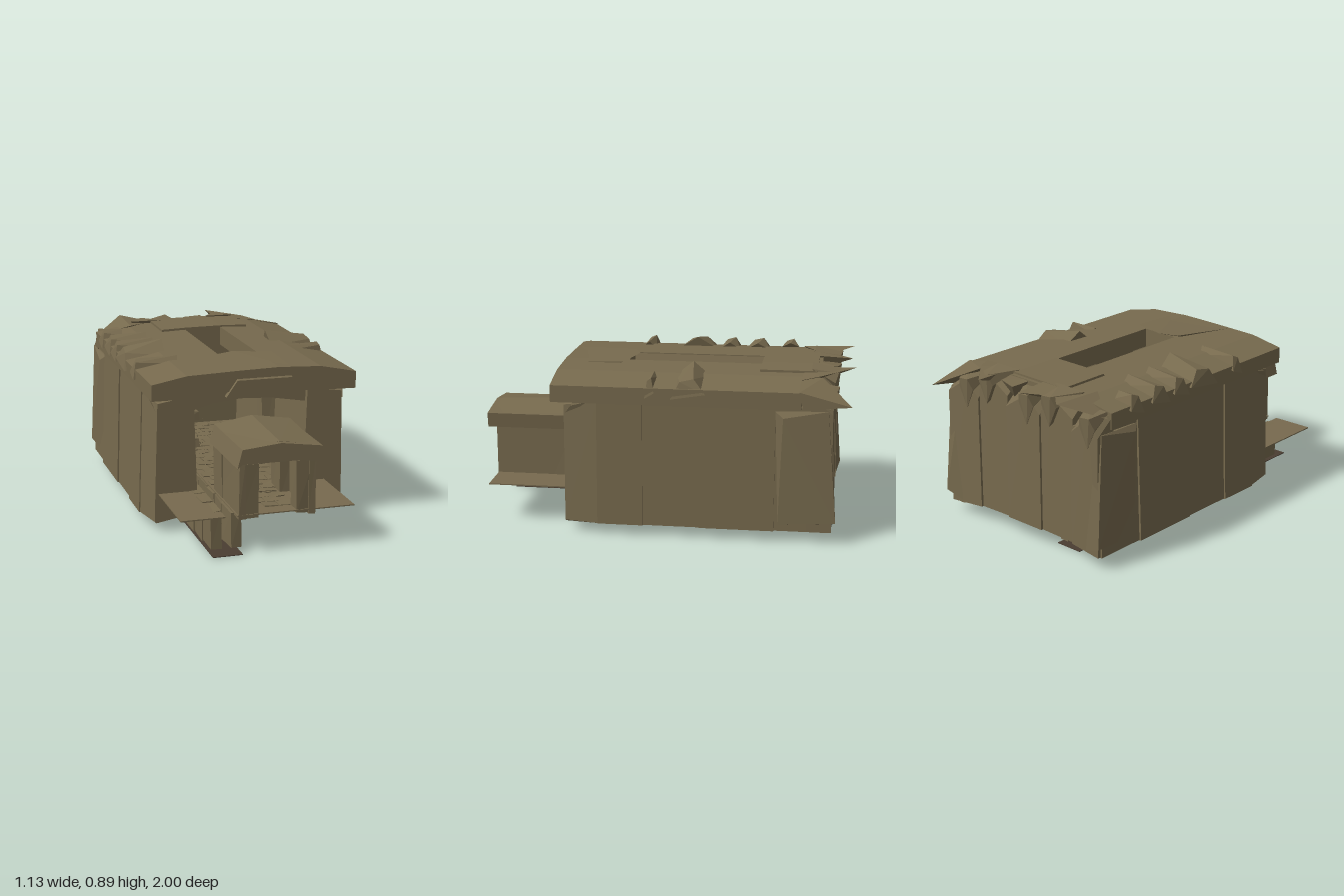
import * as THREE from 'three';
import { ConvexGeometry } from 'three/addons/geometries/ConvexGeometry.js';

export function createModel() {
  const model = new THREE.Group();
  const stone = new THREE.MeshStandardMaterial({ color: 0x776a4e });
  stone.name = 'weathered stone';
  stone.flatShading = true;
  stone.side = THREE.DoubleSide;
  const dark = new THREE.MeshStandardMaterial({ color: 0x4a3d31 });
  dark.name = 'dark trench bed';
  dark.side = THREE.DoubleSide;

  let seed = 7;
  const rnd = (a) => {
    seed = (seed * 16807) % 2147483647;
    return (seed / 2147483647 - 0.5) * 2 * a;
  };
  const add = (name, geo, mat = stone, parent = model) => {
    const m = new THREE.Mesh(geo, mat);
    m.name = name;
    parent.add(m);
    return m;
  };
  const group = (name) => {
    const g = new THREE.Group();
    g.name = name;
    model.add(g);
    return g;
  };
  // hewn block between two corners, each corner shifted by up to j
  const block = (name, [x0, x1], [y0, y1], [z0, z1], j = 0, parent = model, mat = stone) => {
    const pts = [];
    for (const x of [x0, x1].sort((a, b) => a - b)) for (const y of [y0, y1]) for (const z of [z0, z1])
      pts.push([x + rnd(j), y + rnd(j), z + rnd(j)]);
    const g = new THREE.BoxGeometry(2, 2, 2);
    const p = g.attributes.position;
    for (let i = 0; i < p.count; i++) {
      const k = (p.getX(i) > 0 ? 4 : 0) + (p.getY(i) > 0 ? 2 : 0) + (p.getZ(i) > 0 ? 1 : 0);
      p.setXYZ(i, ...pts[k]);
    }
    g.computeVertexNormals();
    return add(name, g, mat, parent);
  };
  const shard = (name, pts, parent = model) =>
    add(name, new ConvexGeometry(pts.map((p) => new THREE.Vector3(...p))), stone, parent);
  // cross-section in x, y carried along z
  const beam = (name, pts, z0, z1, parent = model) => {
    const s = new THREE.Shape(pts.map((p) => new THREE.Vector2(...p)));
    const g = new THREE.ExtrudeGeometry(s, { depth: z1 - z0, bevelEnabled: false });
    return add(name, g.translate(0, 0, z0), stone, parent);
  };

  // side walls: slabs with a sloping foot, stepping slightly in and out
  const walls = group('sideWalls');
  const cuts = [0.51, 0.33, 0.09, -0.21, -0.6, -0.88];
  const steps = [0, 0.006, -0.004, 0.004, -0.008];
  for (const s of [1, -1]) {
    for (let i = 0; i < 5; i++) {
      const out = 0.544 + steps[i];
      const foot = s > 0 ? out : out + 0.014;
      const inn = i === 0 ? 0.29 : 0.31;
      const pts = [];
      for (const z of [cuts[i + 1], cuts[i]]) {
        const cut = z > 0.5 ? 0.035 : 0;
        pts.push([s * inn, 0.09, z], [s * (foot - 0.045), 0.05, z], [s * (foot - cut), 0.058, z],
          [s * (out - 0.008 - cut), cut ? 0.69 : 0.72, z], [s * (inn + 0.02), 0.72, z]);
      }
      shard('wallSlab', pts, walls);
    }
    // leaning slab at the rear corner
    shard('cornerSlab', [[s * 0.535, 0.09, -0.62], [s * 0.563, 0.12, -0.92], [s * 0.535, 0.7, -0.6],
      [s * 0.56, 0.67, -0.64], [s * 0.545, 0.71, -0.87], [s * 0.46, 0.08, -0.9], [s * 0.46, 0.71, -0.88]], walls);
    // broken stones on top of the front slab
    shard('brokenStone', [[s * 0.32, 0.65, 0.5], [s * 0.51, 0.65, 0.5], [s * 0.36, 0.71, 0.47],
      [s * 0.52, 0.69, 0.47], [s * 0.53, 0.73, 0.32], [s * 0.32, 0.73, 0.32]], walls);
  }

  // rear wall of uneven slabs with broken pointed heads
  const rear = group('rearWall');
  const xs = [-0.54, -0.36, -0.14, 0.1, 0.31, 0.54];
  const tops = [0.79, 0.84, 0.81, 0.85, 0.79];
  const feet = [0.06, 0.085, 0.09, 0.09, 0.085, 0.06];
  for (let i = 0; i < 5; i++) {
    const a = xs[i], b = xs[i + 1], t = tops[i], peak = a + (b - a) * (i % 2 ? 0.65 : 0.35);
    const z = -0.893 + (i % 2 ? 0.006 : -0.006);
    shard('rearSlab', [[a, feet[i], z], [b, feet[i + 1], z], [a, feet[i], -0.77], [b, feet[i + 1], -0.77],
      [a, t - 0.09, z + 0.006], [b, t - 0.1, z + 0.006], [peak, t, z + 0.003],
      [a, t, -0.78], [b, t, -0.78]], rear);
    shard('rearCap', [[peak - 0.05, t - 0.05, -0.9], [peak, t - 0.16, -0.9], [peak + 0.06, t - 0.05, -0.895],
      [peak - 0.03, t + 0.01, -0.92], [peak + 0.04, t, -0.91], [a + 0.02, t + 0.02, -0.77], [b - 0.03, t + 0.02, -0.77]], rear);
  }

  // roof: gently arched slabs around an open skylight
  const roof = group('roof');
  beam('roofLeftHalf', [[-0.545, 0.72], [-0.3, 0.72], [-0.08, 0.75], [-0.08, 0.85], [-0.36, 0.84], [-0.545, 0.805]], -0.8, 0.57, roof);
  beam('roofRightHalf', [[0.555, 0.715], [0.555, 0.805], [0.36, 0.845], [0.13, 0.855], [0.13, 0.75], [0.3, 0.72]], -0.73, 0.57, roof);
  const mid = [[-0.08, 0.75], [0.13, 0.75], [0.13, 0.855], [-0.08, 0.85]];
  beam('roofFrontBridge', mid, 0.22, 0.57, roof);
  beam('roofRearBridge', mid, -0.82, -0.5, roof);
  beam('skylightLip', [[-0.08, 0.74], [-0.035, 0.74], [-0.08, 0.845]], -0.5, 0.22, roof);
  beam('roofPatch', [[-0.22, 0.835], [0.29, 0.835], [0.29, 0.86], [0.13, 0.864], [-0.08, 0.862], [-0.22, 0.857]], -0.8, -0.5, roof);
  shard('frontPatch', [[-0.1, 0.862, 0.22], [0.2, 0.86, 0.24], [0.0, 0.865, 0.18], [-0.2, 0.845, 0.57],
    [0.2, 0.85, 0.57], [-0.1, 0.83, 0.3], [0.2, 0.83, 0.3]], roof);
  shard('frontPlate', [[-0.155, 0.715, 0.58], [-0.095, 0.8, 0.58], [0.2, 0.8, 0.58], [0.2, 0.735, 0.58],
    [-0.155, 0.715, 0.55], [-0.095, 0.82, 0.55], [0.2, 0.82, 0.55], [0.2, 0.735, 0.55]], roof);
  // vault arch under the roof
  beam('frontArch', [[-0.32, 0.75], [-0.32, 0.63], [-0.2, 0.665], [-0.05, 0.68], [0.12, 0.672],
    [0.31, 0.64], [0.31, 0.75]], 0.33, 0.48, roof);
  beam('rearArch', [[-0.32, 0.75], [-0.32, 0.6], [-0.1, 0.67], [0.12, 0.67], [0.31, 0.6], [0.31, 0.75]], -0.78, -0.52, roof);

  // splintered slabs overhanging the rear
  const spikes = [
    [[-0.54, 0.78, -0.82], [-0.36, 0.86, -0.99], [-0.2, 0.84, -0.84], [-0.36, 0.85, -0.7], [-0.36, 0.8, -0.78]],
    [[-0.24, 0.84, -0.87], [-0.08, 0.85, -0.98], [-0.08, 0.86, -0.78], [-0.2, 0.86, -0.76], [-0.12, 0.78, -0.8]],
    [[0.18, 0.86, -1.0], [0.36, 0.85, -0.82], [0.18, 0.86, -0.74], [0.22, 0.79, -0.8], [0.42, 0.84, -0.72]],
    [[0.56, 0.74, -0.99], [0.56, 0.81, -0.72], [0.35, 0.845, -0.72], [0.35, 0.84, -0.83], [0.5, 0.72, -0.78], [0.56, 0.72, -0.74]],
    [[0.02, 0.84, -0.92], [0.12, 0.85, -0.9], [0.13, 0.85, -0.78], [0.0, 0.85, -0.78], [0.07, 0.76, -0.86]],
  ];
  for (const s of spikes) shard('rearSpike', s, roof);

  // wedge stones along the eaves: side, z, half length, inner x, peak height
  const wedges = [[-1, -0.1, 0.11, 0.32, 0.895], [-1, -0.28, 0.06, 0.33, 0.865], [-1, -0.44, 0.07, 0.33, 0.865],
    [-1, -0.62, 0.05, 0.43, 0.85], [-1, 0.18, 0.04, 0.31, 0.862], [1, -0.15, 0.09, 0.29, 0.895], [1, 0.05, 0.025, 0.36, 0.85]];
  for (const [s, z, h, inn, top] of wedges)
    shard('eaveWedge', [[s * inn, top, z], [s * 0.53, 0.855, z - h * 0.3], [s * 0.558, 0.78, z - h],
      [s * 0.558, 0.75, z + h], [s * 0.54, 0.84, z + h * 0.5], [s * (inn + 0.02), 0.825, z - h],
      [s * (inn + 0.01), 0.825, z + h]], roof);

  // floor plates, with a gap above the trench
  const floor = group('floor');
  block('floorPlateRight', [-0.21, 0.41], [0.203, 0.209], [-0.8, 0.95], 0, floor);
  block('floorPlateLeft', [-0.5, -0.32], [0.203, 0.209], [0.3, 0.95], 0, floor);
  block('floorPlateEdge', [-0.34, -0.27], [0.203, 0.209], [-0.8, 0.95], 0, floor);
  for (let r = 0; r < 24; r++) for (let c = 0; c < 6; c++) {
    const x = -0.2 + c * 0.08 + (r % 2) * 0.03, z = -0.74 + r * 0.07;
    if (z < 0.5 || (z < 0.86 && x > -0.11 && x < 0.04))
      block('pavingStone', [x, x + 0.074], [0.199, 0.214], [z, z + 0.064], 0.003, floor);
  }

  // drainage trench below the floor
  const trench = group('trench');
  block('trenchBed', [-0.335, -0.18], [0, 0.004], [-0.82, 0.95], 0, trench, dark);
  for (let i = 0; i < 11; i++) {
    const z = -0.78 + i * 0.15;
    block('trenchStoneLeft', [-0.325, -0.265], [0.009, 0.21], [z, z + 0.146], 0.005, trench);
    block('trenchStoneRight', [-0.22, -0.165], [0.009, 0.2], [z, z + 0.146], 0.005, trench);
  }

  // small gatehouse in front
  const gate = group('gatehouse');
  beam('gateRoof', [[-0.225, 0.465], [-0.2, 0.485], [0.1, 0.485], [0.205, 0.47], [0.215, 0.55], [0.0, 0.58], [-0.2, 0.56]], 0.51, 1.0, gate);
  shard('gateRidge', [[-0.2, 0.565, 0.52], [0.0, 0.598, 0.52], [0.21, 0.565, 0.52], [-0.19, 0.55, 0.97],
    [0.0, 0.582, 0.97], [0.2, 0.55, 0.97]], gate);
  for (const s of [-1, 1]) {
    block('gateSide', [s * 0.165, s * 0.2], [0.185, 0.5], [0.52, 0.95], 0.003, gate);
    block('gateFrontPost', [s * 0.1, s * 0.19], [0.19, 0.47], [0.86, 0.945], 0.005, gate);
    block('gateRearPost', [s * 0.11, s * 0.205], [0.16, 0.49], [0.515, 0.66], 0.005, gate);
  }
  block('gateStep', [-0.1, 0.1], [0.2, 0.22], [0.6, 0.64], 0.004, gate);

  // inner left rack
  const rack = group('wallRack');
  for (const z of [0.3, 0, -0.3]) block('rackPost', [-0.31, -0.27], [0.2, 0.7], [z, z + 0.05], 0.008, rack);
  for (const y of [0.38, 0.53]) block('rackShelf', [-0.32, -0.22], [y, y + 0.05], [-0.5, 0.3], 0.006, rack);

  // crossed laths at the rear of the skylight
  const laths = group('laths');
  for (let i = 0; i < 4; i++) {
    const lath = add('lath', new THREE.BoxGeometry(0.16, 0.012, 0.016), stone, laths);
    lath.position.set(-0.02 + i * 0.045, 0.63, -0.46);
    lath.rotation.set(0, i % 2 ? 0.7 : -0.7, 0.1);
  }

  // inner right ledge with a little rounded figure
  const ledge = group('ledge');
  block('ledgeShelf', [0.2, 0.32], [0.21, 0.25], [-0.3, 0.3], 0.006, ledge);
  const ball = (name, x, y, r, k) => {
    const m = add(name, new THREE.SphereGeometry(r, 10, 8), stone, ledge);
    m.position.set(x, y, 0.15);
    m.scale.y = k;
  };
  ball('figureHead', 0.255, 0.393, 0.024, 1);
  ball('figureBody', 0.24, 0.335, 0.022, 1.8);
  ball('figureBase', 0.25, 0.275, 0.03, 0.9);
  block('innerPier', [0.23, 0.31], [0.2, 0.72], [-0.1, -0.02], 0.015, ledge);

  return model;
}
